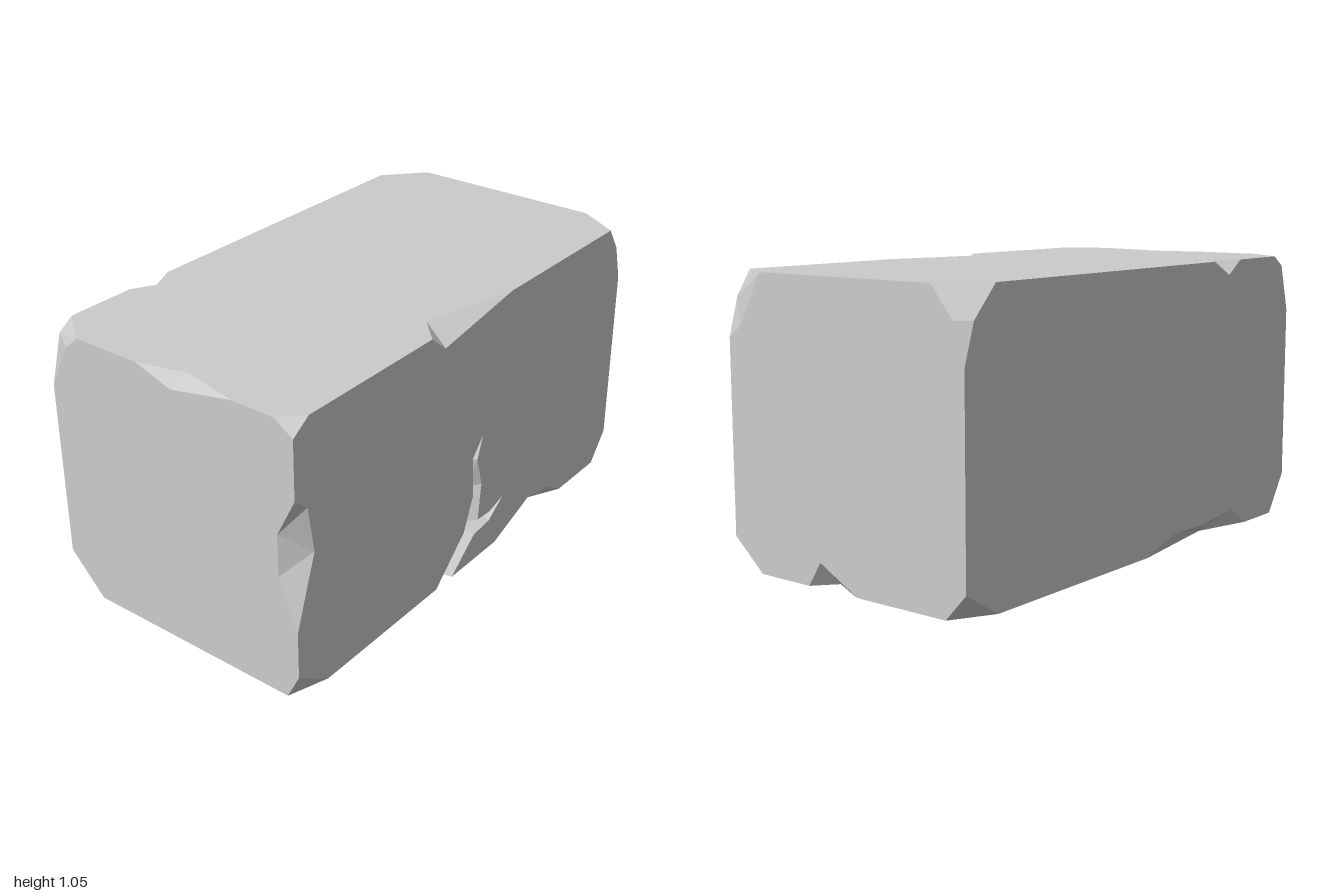
import * as THREE from 'three';

const X = 1, H = 1.05, Z = 0.535;
const CENTRE = [0, H / 2, 0], HALF = [X, H / 2, Z];

// Corner broken off by one flat cut; dx, dy, dz are the lengths lost along each edge
function cutCorner(sx, top, sz, dx, dy, dz) {
  const y = top ? H : 0, yCut = top ? H - dy : dy;
  return [[[sx * (X - dx), y, sz * Z], [sx * X, yCut, sz * Z], [sx * X, y, sz * (Z - dz)]]];
}

// Top corner worn in two steps: a shallow upper facet and a steep lower one
function wornCorner(sx, sz, dx, dz, yLow, [ex, ey], [ez, ezY]) {
  const a = [sx * (X - dx), H, sz * Z], b = [sx * X, H, sz * (Z - dz)];
  const c = [sx * (X - ex), ey, sz * Z], e = [sx * X, ezY, sz * (Z - ez)];
  return [[b, a, c, e], [c, [sx * X, yLow, sz * Z], e]];
}

// Edge chip: a fan of facets from an inner point to a run of rim points
function edgeChip(inner, rim) {
  return rim.slice(1).map((p, i) => [inner, rim[i], p]);
}

// Triangle soup geometry; each triangle is turned to face along outward(centroid)
function facetGeometry(polygons, outward) {
  const positions = [];
  const tri = new THREE.Triangle(), n = new THREE.Vector3(), mid = new THREE.Vector3();
  for (const poly of polygons) {
    for (let i = 1; i < poly.length - 1; i++) {
      const t = [poly[0], poly[i], poly[i + 1]];
      tri.set(...t.map((p) => new THREE.Vector3(...p)));
      tri.getNormal(n);
      tri.getMidpoint(mid);
      if (n.dot(outward(mid)) < 0) t.reverse();
      positions.push(...t.flat());
    }
  }
  const g = new THREE.BufferGeometry();
  g.setAttribute('position', new THREE.Float32BufferAttribute(positions, 3));
  g.computeVertexNormals();
  return g;
}

export function createModel() {
  const group = new THREE.Group();
  const material = new THREE.MeshStandardMaterial({ color: 0xcccccc, flatShading: true });
  const add = (name, geometry) => {
    const mesh = new THREE.Mesh(geometry, material);
    mesh.name = name;
    group.add(mesh);
  };

  // Broken corners
  const corners = [
    ...wornCorner(1, 1, 0.1, 0.165, 0.82, [0.04, 0.96], [0.055, 0.86]),
    ...wornCorner(1, -1, 0.15, 0.135, 0.8, [0.045, 0.94], [0.045, 0.94]),
    ...wornCorner(-1, -1, 0.11, 0.145, 0.83, [0.05, 1.01], [0.085, 1.0]),
    ...cutCorner(-1, true, 1, 0.075, 0.05, 0.075),
    ...cutCorner(1, false, 1, 0.09, 0.115, 0.135),
    ...cutCorner(1, false, -1, 0.155, 0.095, 0.085),
    ...cutCorner(-1, false, -1, 0.1, 0.15, 0.145),
    ...cutCorner(-1, false, 1, 0.15, 0.1, 0.05),
  ];

  // Chipped edges
  const chips = [
    // front top
    ...edgeChip([-0.19, H, 0.44], [[-0.29, H, Z], [-0.21, 0.985, Z], [0.2, H, Z]]),
    // front bottom
    ...edgeChip([0.46, 0, 0.44], [[0.17, 0, Z], [0.4, 0.085, Z], [0.55, 0.06, Z], [0.65, 0, Z]]),
    // left-hand bottom
    ...edgeChip([0.92, 0, 0.097], [[X, 0, 0.165], [X, 0.09, 0.11], [X, 0, -0.06]]),
    // right-hand top
    ...edgeChip([-0.95, H, 0.07], [[-X, H, -0.12], [-X, 1.0, 0.03], [-X, H, 0.29]]),
    // back top
    ...edgeChip([-0.52, H, -0.48], [[-0.62, H, -Z], [-0.54, 0.995, -Z], [-0.43, H, -Z]]),
    // back bottom
    ...edgeChip([-0.46, 0, -0.47],
      [[0, 0, -Z], [-0.19, 0.055, -Z], [-0.38, 0.05, -Z], [-0.59, 0.07, -Z], [-0.7, 0, -Z]]),
    // front upright edge
    ...edgeChip([-X, 0.63, 0.46], [[-X, 0.78, Z], [-0.94, 0.73, Z], [-0.91, 0.55, Z]]),
    ...edgeChip([-X, 0.47, 0.46], [[-X, 0.63, 0.46], [-0.91, 0.55, Z], [-X, 0.28, Z]]),
  ];

  // Forked crack: rim on the front face, valley points inside
  const rim = [
    [-0.22, 0], [-0.05, 0.16], [0, 0.29], [-0.01, 0.46], [0.05, 0.53], [0.02, 0.44], [0.055, 0.32],
    [0.04, 0.17], [0.12, 0.165], [0.21, 0.19], [0.12, 0.125], [0.02, 0.115], [-0.12, 0],
  ].map(([x, y]) => [x, y, Z]);
  const base = [-0.145, 0, 0.38], foot = [-0.16, 0.02, 0.46], fork = [-0.005, 0.15, 0.46];
  const stem = [0.025, 0.3, 0.48], tip = [0.01, 0.44, 0.49], branch = [0.12, 0.145, 0.49];
  // valley point below each rim point; each wall joins two neighbours
  const valley = [foot, fork, stem, tip, tip, tip, stem, fork, branch, branch, branch, fork, foot];
  const walls = rim.slice(1).map((p, i) =>
    valley[i] === valley[i + 1] ? [rim[i], p, valley[i]] : [rim[i], valley[i], valley[i + 1], p]);
  walls.push([rim[0], base, foot], [rim[12], foot, base]);

  // Six block faces: gather the break points on each plane and walk round the outline
  const points = new Map();
  for (const p of [...corners, ...chips, [rim[0], base, rim[12]]].flat()) {
    points.set(p.map((v) => v.toFixed(4)).join(), p);
  }
  for (const [axis, sign, name] of [
    [0, 1, 'leftFace'], [0, -1, 'rightFace'], [1, 1, 'topFace'],
    [1, -1, 'bottomFace'], [2, 1, 'frontFace'], [2, -1, 'backFace'],
  ]) {
    const u = (axis + 1) % 3, v = (axis + 2) % 3;
    const angle = (p) => Math.atan2(p[v] - CENTRE[v], p[u] - CENTRE[u]);
    const outline = [...points.values()]
      .filter((p) => Math.abs(p[axis] - CENTRE[axis] - sign * HALF[axis]) < 1e-4)
      .sort((a, b) => angle(a) - angle(b));
    if (name === 'frontFace') {
      const start = outline.findIndex((p) => p[0] === rim[0][0] && p[1] === 0);
      outline.splice(start + 1, 0, ...rim.slice(1, -1));
    }
    const flat = outline.map((p) => new THREE.Vector2(p[u], p[v]));
    const triangles = THREE.ShapeUtils.triangulateShape(flat, []).map((t) => t.map((i) => outline[i]));
    const normal = new THREE.Vector3().setComponent(axis, sign);
    add(name, facetGeometry(triangles, () => normal));
  }

  const fromCentre = (mid) => mid.clone().sub(new THREE.Vector3(...CENTRE));
  add('brokenCorners', facetGeometry(corners, fromCentre));
  add('chippedEdges', facetGeometry(chips, fromCentre));
  const forward = new THREE.Vector3(0, 0, 1);
  add('crack', facetGeometry(walls, () => forward));
  return group;
}
